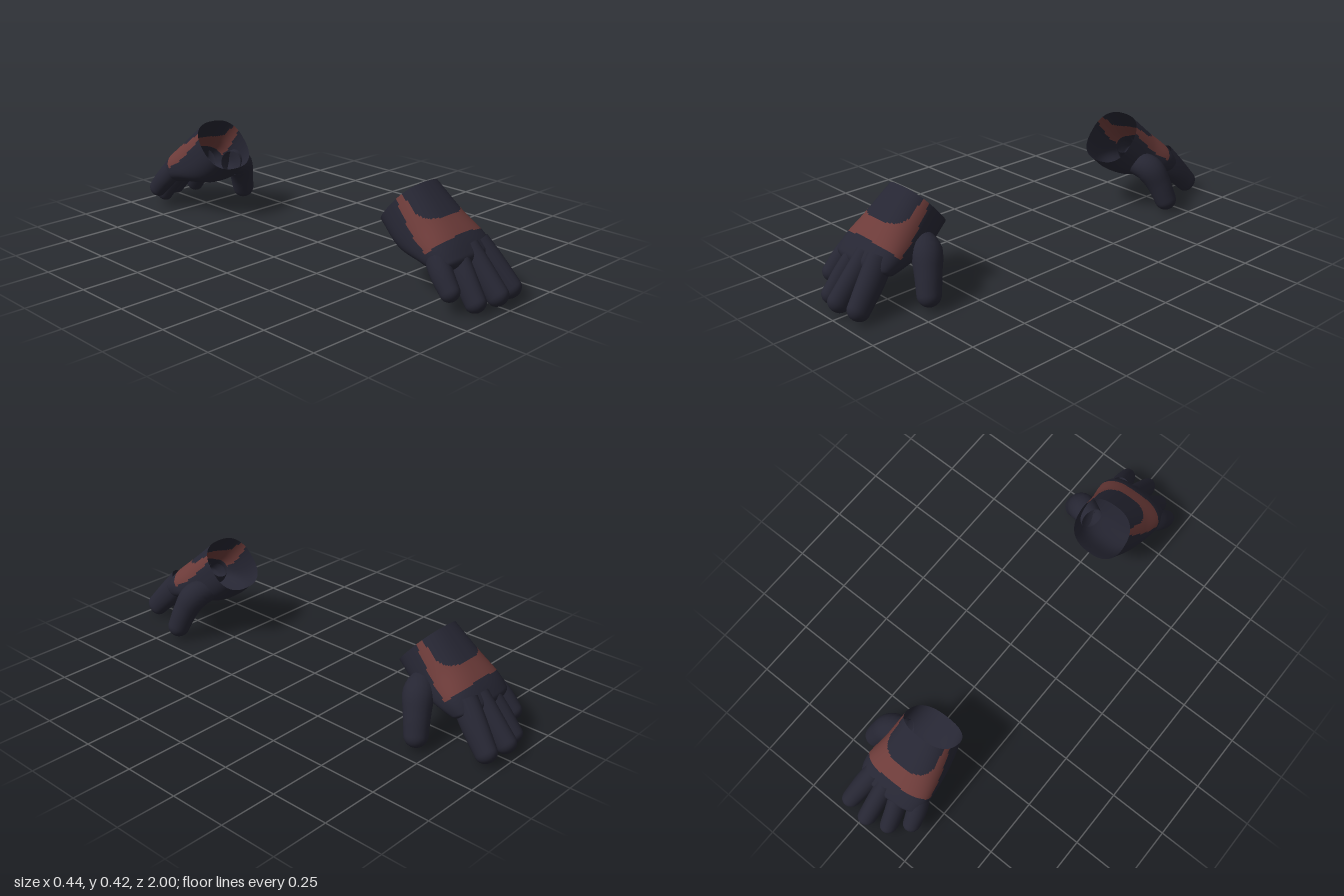
import * as THREE from 'three';

const navy = new THREE.MeshStandardMaterial({ color: 0x262633, side: THREE.DoubleSide });
navy.name = 'dark navy fabric';
const red = new THREE.MeshStandardMaterial({ color: 0x6c3b39, side: THREE.DoubleSide });
red.name = 'dull red trim';

const V = (x, y, z) => new THREE.Vector3(x, y, z);

// Closed-loop surface: point(angle, v) gives positions, isRed(angle, point) picks trim faces.
// side = -1 mirrors front to back and flips the winding to match.
function loft(name, cols, rows, side, point, isRed = () => false) {
  const pos = [], main = [], trim = [];
  for (let j = 0; j <= rows; j++) {
    for (let i = 0; i < cols; i++) {
      const p = point((i / cols) * Math.PI * 2, j / rows);
      pos.push(p.x, p.y, p.z * side);
    }
  }
  for (let j = 0; j < rows; j++) {
    for (let i = 0; i < cols; i++) {
      const a = j * cols + i, b = j * cols + (i + 1) % cols, c = b + cols, d = a + cols;
      const u = ((i + 0.5) / cols) * Math.PI * 2;
      const list = isRed(u, point(u, (j + 0.5) / rows)) ? trim : main;
      if (side > 0) list.push(a, b, c, a, c, d);
      else list.push(a, c, b, a, d, c);
    }
  }
  const geo = new THREE.BufferGeometry();
  geo.setAttribute('position', new THREE.Float32BufferAttribute(pos, 3));
  geo.setIndex([...main, ...trim]);
  geo.addGroup(0, main.length, 0);
  if (trim.length) geo.addGroup(main.length, trim.length, 1);
  geo.computeVertexNormals();
  const mesh = new THREE.Mesh(geo, trim.length ? [navy, red] : navy);
  mesh.name = name;
  return mesh;
}

// Hand and open cuff: cross-sections between a dorsal line and a palm line
const dorsal = new THREE.CatmullRomCurve3([
  V(-0.05, 0.425, 0.63), V(-0.05, 0.333, 0.735), V(-0.045, 0.25, 0.828), V(-0.045, 0.175, 0.885)]);
const palm = new THREE.CatmullRomCurve3([
  V(-0.05, 0.24, 0.467), V(-0.05, 0.16, 0.575), V(-0.045, 0.14, 0.70), V(-0.045, 0.12, 0.80)]);
const halfWidth = new THREE.CatmullRomCurve3([
  V(0.12, 0, 0), V(0.14, 0.1, 0), V(0.156, 0.2, 0), V(0.143, 0.3, 0)]);
const squarish = (n) => Math.sign(n) * Math.pow(Math.abs(n), 0.8);

function handPoint(u, v) {
  const top = dorsal.getPoint(v), low = palm.getPoint(v);
  const mid = top.clone().add(low).multiplyScalar(0.5);
  const close = v > 0.86 ? Math.sqrt(Math.max(0, 1 - ((v - 0.86) / 0.14) ** 2)) : 1;
  const p = mid.clone().addScaledVector(top.sub(mid), squarish(Math.sin(u)) * close);
  p.x += halfWidth.getPoint(v).x * squarish(Math.cos(u)) * close;
  return p;
}

// Trim band across the back of the hand, with a strip up each side to the cuff rim
function inBand(u, p) {
  const w = Math.abs(u - Math.PI / 2);
  const d = (0.33 - p.y) * 0.66 + (p.z - 0.55) * 0.75;
  if (d > 0.238 || w > Math.min(1.5, 1.25 + d)) return false;
  return d > 0.155 || w > 0.95 * Math.sqrt(1 - Math.max(0, d / 0.155) ** 4);
}

// Tapered digit with a rounded tip; nodes are [x, y, z, radius]
function digit(name, nodes, depth, side) {
  const path = new THREE.CatmullRomCurve3(nodes.map(([x, y, z]) => V(x, y, z)));
  const radius = new THREE.CatmullRomCurve3(nodes.map((n, i) => V(n[3], i, 0)));
  return loft(name, 20, 24, side, (u, v) => {
    const t = Math.min(1, v / 0.65);
    const cap = Math.max(0, (v - 0.65) / 0.35) * Math.PI / 2;
    const T = path.getTangent(t);
    const N = T.clone().cross(V(1, 0, 0)).normalize();
    const X = N.clone().cross(T);
    const r = radius.getPoint(t).x, ring = r * Math.cos(cap);
    return path.getPoint(t)
      .addScaledVector(T, r * Math.sin(cap))
      .addScaledVector(X, ring * Math.cos(u))
      .addScaledVector(N, ring * depth * Math.sin(u));
  });
}

const digits = [
  ['littleFinger', 1.15, [[-0.15, 0.22, 0.755, 0.04], [-0.176, 0.15, 0.815, 0.041], [-0.187, 0.09, 0.868, 0.036]]],
  ['ringFinger', 1.25, [[-0.085, 0.2, 0.80, 0.04], [-0.1, 0.12, 0.865, 0.039], [-0.109, 0.042, 0.926, 0.036]]],
  ['middleFinger', 1.25, [[-0.025, 0.205, 0.81, 0.041], [-0.022, 0.13, 0.882, 0.04], [-0.02, 0.054, 0.956, 0.038]]],
  ['indexFinger', 1.25, [[0.04, 0.205, 0.80, 0.046], [0.06, 0.13, 0.865, 0.045], [0.08, 0.051, 0.938, 0.039]]],
  ['thumb', 1.0, [[0.04, 0.22, 0.61, 0.05], [0.105, 0.2, 0.635, 0.062], [0.143, 0.135, 0.66, 0.054], [0.17, 0.06, 0.68, 0.048]]],
];

function glove(name, side) {
  const group = new THREE.Group();
  group.name = name;
  group.add(loft('handAndCuff', 96, 64, side, handPoint, inBand));
  for (const [part, depth, nodes] of digits) group.add(digit(part, nodes, depth, side));
  return group;
}

export function createModel() {
  const model = new THREE.Group();
  model.name = 'pairOfGloves';
  model.add(glove('frontGlove', 1), glove('backGlove', -1));
  return model;
}
